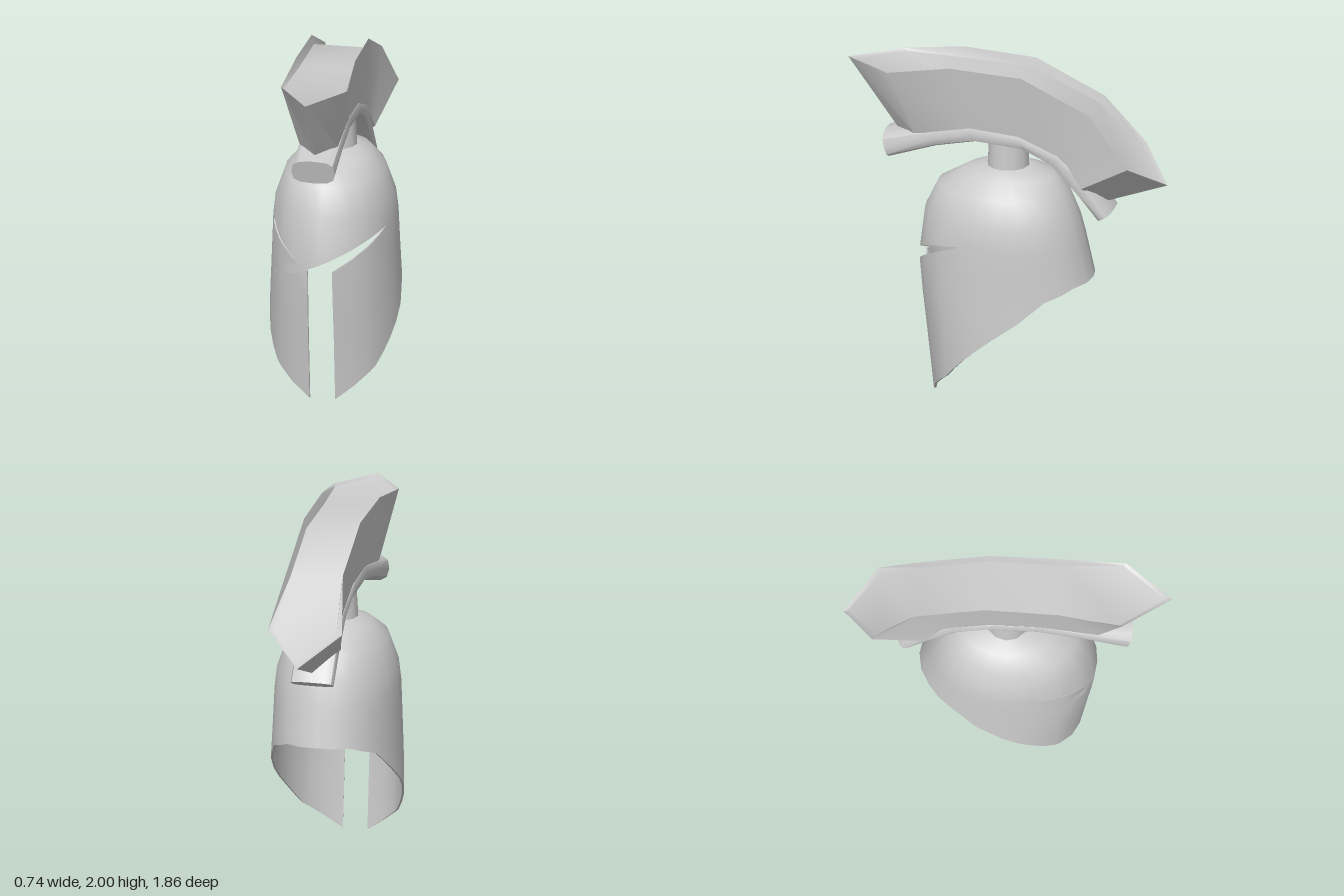
import * as THREE from 'three';
import { toCreasedNormals } from 'three/addons/utils/BufferGeometryUtils.js';

const steel = new THREE.MeshStandardMaterial({ color: 0xcccccc, side: THREE.DoubleSide });
steel.name = 'plain grey steel';

// Piecewise linear lookup; each row is [key, value, value...], keys ascending
function lookup(table, key) {
  let i = 0;
  while (i < table.length - 2 && key > table[i + 1][0]) i++;
  const a = table[i], b = table[i + 1];
  const f = THREE.MathUtils.clamp((key - a[0]) / (b[0] - a[0]), 0, 1);
  return a.slice(1).map((v, k) => v + (b[k + 1] - v) * f);
}

// Quads between an upper row a and a lower row b, running left to right
function strip(out, a, b, closed, keep = () => true) {
  const n = closed ? a.length : a.length - 1;
  for (let i = 0; i < n; i++) {
    if (!keep(i)) continue;
    const j = (i + 1) % a.length;
    out.push(...a[i], ...b[i], ...b[j], ...a[i], ...b[j], ...a[j]);
  }
}

function makeMesh(name, positions, crease) {
  const g = new THREE.BufferGeometry();
  g.setAttribute('position', new THREE.Float32BufferAttribute(positions, 3));
  const mesh = new THREE.Mesh(toCreasedNormals(g, crease), steel);
  mesh.name = name;
  return mesh;
}

// Half width, front depth and back depth of the bowl by height
const BOWL = [
  [0, 0.37, 0.42, 0.6], [0.45, 0.37, 0.47, 0.55], [0.75, 0.356, 0.507, 0.5],
  [0.98, 0.348, 0.5, 0.447], [1.1, 0.335, 0.475, 0.415], [1.26, 0.28, 0.4, 0.35],
  [1.35, 0.2, 0.25, 0.27], [1.39, 0.12, 0.11, 0.14],
];
// Edge heights by angle from the front
const HEM = [[0.2, 0], [0.86, 0.17], [1.2, 0.31], [1.571, 0.45], [2.165, 0.68], [2.606, 0.74], [3.142, 0.75]];
const CHEEK_TOP = [[0.2, 0.79], [0.76, 0.9], [1.185, 0.98]];
const EYE = 1.185;
const WALL = 0.012;

function bowlPoint(t, y, inset) {
  const [w, front, back] = lookup(BOWL, y);
  const depth = (Math.cos(t) > 0 ? front : back) - inset;
  return [(w - inset) * Math.sin(t), y > 1.2 ? y - inset : y, depth * Math.cos(t)];
}

function makeBowl() {
  const half = [0, 0.2, 0.5, 0.76, 0.86, 1.02, EYE, 1.37, 1.571, 1.86, 2.165, 2.4, 2.606, 2.87];
  const around = [...half, Math.PI, ...half.slice(1).reverse().map((t) => 2 * Math.PI - t)];
  const skirt = around.slice(1);
  const fold = (t) => Math.min(t, 2 * Math.PI - t);
  const brow = (t) => (fold(t) < EYE - 0.001 ? 0.83 + 0.162 * Math.sin(t) : 0.98);
  const cheek = (t) => lookup(CHEEK_TOP, fold(t))[0];
  const hem = (t) => lookup(HEM, fold(t))[0];
  const row = (cols, height, inset) => cols.map((t) => bowlPoint(t, height(t), inset));
  const out = [];

  // Inner and outer walls of the crown and of the cheeks and neck guard
  const crownHeights = [1.39, 1.35, 1.26, 1.1].map((y) => () => y).concat(brow);
  const skirtHeights = [0, 0.25, 0.5, 0.75, 1].map((f) => (t) => cheek(t) + (hem(t) - cheek(t)) * f);
  for (const [cols, heights, closed] of [[around, crownHeights, true], [skirt, skirtHeights, false]]) {
    for (let i = 0; i < heights.length - 1; i++) {
      strip(out, row(cols, heights[i], 0), row(cols, heights[i + 1], 0), closed);
      strip(out, row(cols, heights[i + 1], WALL), row(cols, heights[i], WALL), closed);
    }
  }
  // Top cap
  const cap = (y) => around.map(() => [0, y, 0]);
  strip(out, cap(1.395), row(around, () => 1.39, 0), true);
  strip(out, row(around, () => 1.39, WALL), cap(1.38), true);

  // Rims of the brow, eye slits, hem and face opening
  const frontOnly = (cols) => (i) => {
    const next = cols[(i + 1) % cols.length] || 2 * Math.PI;
    return fold((cols[i] + next) / 2) < EYE;
  };
  strip(out, row(around, brow, 0), row(around, brow, WALL), true, frontOnly(around));
  strip(out, row(skirt, cheek, WALL), row(skirt, cheek, 0), false, frontOnly(skirt));
  strip(out, row(skirt, hem, 0), row(skirt, hem, WALL), false);
  for (const t of [skirt[0], skirt[skirt.length - 1]]) {
    const edge = (inset) => skirtHeights.map((h) => bowlPoint(t, h(t), inset));
    if (t < 1) strip(out, edge(0), edge(WALL), false);
    else strip(out, edge(WALL), edge(0), false);
  }
  return makeMesh('helmetBowl', out, 0.75);
}

// Curved rail under the crest: bottom z, y and top z, y from front to back
function makeCrestRail() {
  const stations = [
    [0.67, 1.385, 0.71, 1.53], [0.4, 1.48, 0.41, 1.6], [0.17, 1.53, 0.2, 1.645],
    [-0.12, 1.51, -0.08, 1.62], [-0.27, 1.435, -0.33, 1.52],
    [-0.43, 1.26, -0.48, 1.37], [-0.54, 1.13, -0.62, 1.175],
  ];
  const sides = 12;
  const bulge = (v) => Math.sign(v) * Math.pow(Math.abs(v), 0.65);
  const rings = stations.map(([bz, by, tz, ty]) => Array.from({ length: sides }, (_, i) => {
    const a = (i / sides) * Math.PI * 2;
    const h = 0.5 + 0.5 * bulge(Math.sin(a));
    return [0.125 * bulge(Math.cos(a)), by + (ty - by) * h, bz + (tz - bz) * h];
  }));
  const centre = ([bz, by, tz, ty]) => Array(sides).fill([0, (by + ty) / 2, (bz + tz) / 2]);
  const out = [];
  strip(out, centre(stations[0]), rings[0], true);
  for (let i = 0; i < rings.length - 1; i++) strip(out, rings[i], rings[i + 1], true);
  strip(out, rings[rings.length - 1], centre(stations[stations.length - 1]), true);
  return makeMesh('crestRail', out, 0.8);
}

// Plume: flaring walls around a shallow trough, pointed at both ends
function makePlume() {
  const top = [
    [0, 1.94, 0.93], [0.19, 1.945, 0.655], [0.168, 2.0, 0.3], [0.163, 1.98, -0.12],
    [0.163, 1.79, -0.52], [0.215, 1.51, -0.75], [0, 1.35, -0.93],
  ];
  const bottom = [
    [0, 1.54, 0.64], [0.11, 1.56, 0.52], [0.11, 1.6, 0.2], [0.11, 1.59, -0.1],
    [0.11, 1.46, -0.37], [0.135, 1.33, -0.46], [0, 1.22, -0.58],
  ];
  const floor = [
    [0, 1.93, 0.89], [0.178, 1.932, 0.64], [0.152, 1.94, 0.29], [0.15, 1.925, -0.12],
    [0.15, 1.75, -0.49], [0.18, 1.5, -0.735], [0, 1.36, -0.905],
  ];
  const flip = ([x, y, z]) => [-x, y, z];
  const loop = (h) => [...h, ...h.slice(1, -1).reverse().map(flip)];
  const out = [];
  strip(out, loop(top), loop(bottom), true);
  strip(out, loop(floor), loop(top), true);
  strip(out, floor.map(flip), floor, false);
  strip(out, bottom, bottom.map(flip), false);
  return makeMesh('plume', out, 0.7);
}

export function createModel() {
  const group = new THREE.Group();
  group.name = 'crestedHelmet';
  group.add(makeBowl(), makeCrestRail(), makePlume());

  // Post holding the crest
  const post = new THREE.Mesh(new THREE.CylinderGeometry(0.112, 0.122, 0.18, 12), steel);
  post.name = 'crestPost';
  post.position.set(0, 1.46, -0.003);
  group.add(post);
  return group;
}
